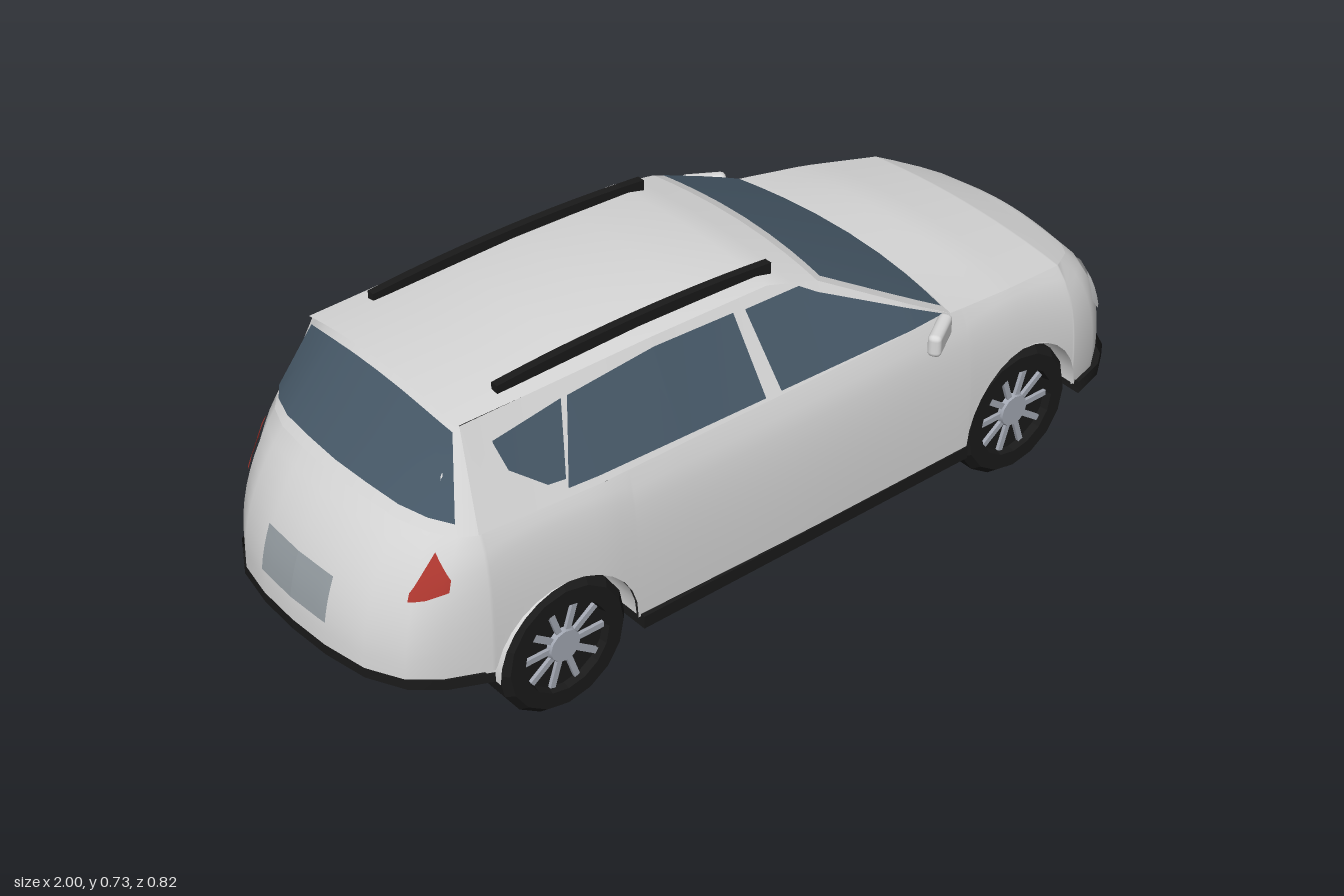
import * as THREE from 'three';
import { RoundedBoxGeometry } from 'three/addons/geometries/RoundedBoxGeometry.js';

const mat = (name, color) => new THREE.MeshStandardMaterial({ name, color, side: THREE.DoubleSide });
const paint = mat('silver paint', 0xd8d8d8);
const glass = mat('tinted glass', 0x475968);
const black = mat('black trim', 0x1a1a1a);
const alloy = mat('wheel alloy', 0xa2a7b2);
const lens = mat('headlight lens', 0xd4d5d6);
const grilleGrey = mat('grille grey', 0x959da2);
const red = mat('tail light red', 0xb03830);

const V = (x, y, z) => new THREE.Vector3(x, y, z);
const lerp = THREE.MathUtils.lerp;
const mirrorZ = (p) => V(p.x, p.y, -p.z);

// Piecewise linear lookup in a table of [x, value], x ascending
function at(table, x) {
  if (x <= table[0][0]) return table[0][1];
  for (let i = 1; i < table.length; i++) {
    const [x0, a] = table[i - 1], [x1, b] = table[i];
    if (x <= x1) return lerp(a, b, (x - x0) / (x1 - x0));
  }
  return table[table.length - 1][1];
}

// Smooth sheet through rows of points
function sheet(rows) {
  const n = rows[0].length, index = [];
  for (let i = 0; i < rows.length - 1; i++)
    for (let j = 0; j < n - 1; j++) {
      const a = i * n + j, b = a + n;
      index.push(a, b, a + 1, b, b + 1, a + 1);
    }
  const g = new THREE.BufferGeometry().setFromPoints(rows.flat());
  g.setIndex(index);
  g.computeVertexNormals();
  return g;
}

// Columns of the body shell: foot x, foot z, shoulder x, y, z
const front = [
  [.985, 0, .92, .385, 0], [.98, .12, .915, .385, .11], [.965, .22, .90, .385, .19],
  [.93, .285, .87, .395, .23], [.87, .33, .82, .415, .265], [.79, .352, .79, .426, .285]];
const rear = [
  [-.775, .345, -.775, .5, .32], [-.87, .315, -.81, .5, .30], [-.93, .275, -.845, .505, .255],
  [-.975, .20, -.87, .51, .19], [-.995, .10, -.882, .515, .10], [-1, 0, -.887, .515, 0]];
const footZ = [[-.78, .345], [-.5, .365], [0, .375], [.45, .375], [.8, .35]];
const beltY = [[-.78, .5], [.3, .5], [.42, .49], [.6, .462], [.8, .425]];
const beltZ = [[-.775, .32], [-.5, .34], [.3, .345], [.45, .335], [.6, .32], [.8, .285]];
const roofZ = [[-.75, .24], [-.3, .25], [.12, .24]];
const roofY = [[-.775, .5], [-.75, .695], [-.3, .70], [0, .69], [.12, .658], [.42, .49]];
const bulge = [[-.93, .5], [-.78, .8]];
const axles = [.62, -.6], ARCH = .168, AXLE_Y = .155;

const footY = (x) => at([[-1, .21], [-.77, .185], [-.6, .15]], x);
const sideCol = (x) => [x, at(footZ, x), x, at(beltY, x), at(beltZ, x)];
const colAt = (cols, i) => {
  const k = Math.min(Math.floor(i), cols.length - 2);
  return cols[k].map((a, j) => lerp(a, cols[k + 1][j], i - k));
};

// Point of a column at a given height, along its bulging curve
function bodyPoint([fx, fz, sx, sy, sz], y) {
  const y0 = footY(fx);
  const bend = V(fx, lerp(y0, sy, at(bulge, fx)), fz * 1.03);
  const curve = new THREE.QuadraticBezierCurve3(V(fx, y0, fz), bend, V(sx, sy, sz));
  let lo = 0, hi = 1;
  for (let k = 0; k < 24; k++) {
    const m = (lo + hi) / 2;
    if (curve.getPoint(m).y < y) lo = m; else hi = m;
  }
  return curve.getPoint((lo + hi) / 2);
}

function lowerEdge(x) {
  let y = footY(x);
  for (const c of axles) {
    const d = ARCH ** 2 - (x - c) ** 2;
    if (d > 0) y = Math.max(y, AXLE_Y + Math.sqrt(d));
  }
  return y;
}

// Height of the cabin side above the belt line, as z for x and y
const sideZ = (x, y) => lerp(at(beltZ, x), at(roofZ, x), Math.max(0, (y - .5) / .19));

// Strip on the cabin side between two edge tables
function sideStrip(lo, hi, offset) {
  const a = hi[0][0], b = hi[hi.length - 1][0];
  const xs = [...lo, ...hi].map((p) => p[0]).filter((x) => x >= a && x <= b);
  for (let i = 0; i <= 40; i++) xs.push(lerp(a, b, i / 40));
  xs.sort((p, q) => p - q);
  return sheet(xs.map((x) => [at(lo, x), at(hi, x)].map((y) => V(x, y, sideZ(x, y) + offset))));
}

// Thin plate on the shell: list of [column, low y, high y]
function shellPlate(cols, edges) {
  const rows = [];
  for (let i = 0; i < edges.length - 1; i++)
    for (let k = i ? 1 : 0; k <= 6; k++) {
      const [c, lo, hi] = edges[i].map((e, j) => lerp(e, edges[i + 1][j], k / 6));
      rows.push([0, .25, .5, .75, 1].map((t) => {
        const p = bodyPoint(colAt(cols, c), lerp(lo, hi, t));
        return V(p.x * 1.005, p.y, p.z * 1.015);
      }));
    }
  return sheet(rows);
}

export function createModel() {
  const car = new THREE.Group();
  car.name = 'car';
  const add = (name, geo, material, parent = car) => {
    const m = new THREE.Mesh(geo, material);
    m.name = name;
    parent.add(m);
    return m;
  };
  const pair = (name, geo, material) => {
    add(name + 'Left', geo, material);
    const g = geo.clone().scale(1, 1, -1), ix = g.index;
    for (let i = 0; i < ix.count; i += 3) {
      const a = ix.getX(i);
      ix.setX(i, ix.getX(i + 1));
      ix.setX(i + 1, a);
    }
    g.computeVertexNormals();
    add(name + 'Right', g, material);
  };

  // Lower body with wheel arches
  const stations = [];
  const archXs = (c) => { for (let k = 0; k <= 14; k++) stations.push(c + ARCH * Math.cos(Math.PI * k / 14)); };
  archXs(axles[0]);
  for (let k = 0; k < 7; k++) stations.push(lerp(.42, -.425, k / 7));
  archXs(axles[1]);
  const sides = stations.map(sideCol);
  const half = [...front, ...sides, ...rear].map((c) => {
    const y0 = lowerEdge(c[0]);
    return Array.from({ length: 10 }, (_, j) => bodyPoint(c, lerp(y0, c[3], j / 9)));
  });
  add('lowerBody', sheet([...half, ...half.slice(0, -1).reverse().map((r) => r.map(mirrorZ))]), paint);

  // Hood
  const hoodCols = [...front, ...sides.slice(0, 16)];
  add('hood', sheet(hoodCols.map(([, , x, y, z]) => Array.from({ length: 13 }, (_, j) => {
    const u = 1 - j / 6, rise = at([[.42, .02], [.62, .07]], x);
    return V(x, y + rise * z * (1 - u * u), z * u);
  }))), paint);

  // Cabin sides, rear panel, roof and windscreen frame
  pair('cabinSide', sideStrip(beltY, roofY, 0), paint);
  const rearBelt = rear.map((c) => V(c[2], c[3], c[4]));
  const belt = [...rearBelt, ...rearBelt.slice(0, -1).reverse().map(mirrorZ)];
  const us = belt.map((p) => p.z / .32);
  const crown = (u) => .022 * (1 - u * u);
  const rearTop = belt.map((p, i) => V(-.75, .695 + crown(us[i]), us[i] * sideZ(-.75, .695)));
  add('rearPanel', sheet([belt, rearTop]), paint);
  const across = (x, y, bow, rise) => us.map((u) => V(x + bow * (1 - u * u), y + rise * crown(u), sideZ(x, y) * u));
  const roofRows = [-.6, -.45, -.3, -.15, 0, .06, .12].map((x) =>
    across(x, at(roofY, x), Math.max(0, x) / 8, at([[-.1, 1], [.12, .45]], x)));
  add('roof', sheet([rearTop.map((p) => V(p.x - .01, p.y + .002, p.z)), ...roofRows]), paint);
  const screenRow = (t) => across(lerp(.12, .42, t), lerp(.658, .49, t), lerp(.015, .035, t), lerp(.45, .2, t));
  add('windscreenFrame', sheet([0, .25, .5, .75, 1].map(screenRow)), paint);

  // Glass
  add('windscreen', sheet([.04, .25, .5, .75, .95].map((t) =>
    screenRow(t).map((p) => V(p.x + .004, p.y + .006, p.z * .945)))), glass);
  add('rearWindow', sheet([.13, .5, .92].map((v) => belt.map((p, i) => p.clone().lerp(rearTop[i], v))
    .map((p) => V(p.x - .006, p.y, p.z * 1.005)).slice(1, -1))), glass);
  pair('frontSideWindow', sideStrip([[-.07, .67], [-.045, .51], [.39, .503]],
    [[-.07, .672], [.07, .667], [.11, .642], [.39, .505]], .005), glass);
  pair('rearSideWindow', sideStrip([[-.57, .518], [-.085, .51]],
    [[-.57, .52], [-.515, .67], [-.3, .685], [-.1, .676], [-.085, .511]], .005), glass);
  pair('quarterWindow', sideStrip([[-.695, .645], [-.68, .59], [-.61, .538], [-.57, .535], [-.53, .668]],
    [[-.695, .65], [-.53, .67]], .005), glass);

  // Lights, grille and rear plate
  pair('headlight', shellPlate(front, [[1.8, .275, .335], [2.8, .268, .355], [3.25, .268, .35], [3.8, .312, .32]]), lens);
  pair('grille', shellPlate(front, [[0, .156, .265], [1, .156, .265], [1.35, .156, .255], [1.65, .156, .16]]), grilleGrey);
  pair('tailLight', shellPlate(rear, [[.95, .4, .425], [1.6, .383, .475], [2.1, .378, .395]]), red);
  pair('rearPlate', shellPlate([...rear].reverse(), [[0, .27, .37], [1.05, .27, .37]]), grilleGrey);

  // Bumper skirts, floor and sills
  const skirt = (name, cols, grow, yLow, yHigh) => {
    const ring = [...cols, ...cols.slice().reverse().map(([x, z]) => [x, -z])];
    add(name, sheet(ring.map(([x, z]) => [yLow(x), yHigh(x)].map((y) => V(x * grow, y, z * 1.03)))), black);
    add(name + 'Floor', sheet(cols.map(([x, z]) => [1, -1].map((s) => V(x * grow, yLow(x), s * z * 1.03)))), black);
  };
  skirt('frontSkirt', front, 1.014, () => .126, () => .156);
  skirt('rearSkirt', rear, 1.001, (x) => footY(x) - .02, (x) => footY(x) + .004);
  add('floorAndSills', new THREE.BoxGeometry(.88, .03, .756), black).position.set(.013, .141, 0);

  // Wheel bays: arch liner, inner wall and the flat panel between them
  for (const x of axles) {
    for (const s of [1, -1]) {
      const liner = new THREE.CylinderGeometry(ARCH, ARCH, .11, 14, 1, true, Math.PI / 2, Math.PI).rotateX(Math.PI / 2);
      add('archLiner', liner, paint).position.set(x, AXLE_Y, s * .305);
      add('archWall', new THREE.CircleGeometry(ARCH, 14, 0, Math.PI), paint).position.set(x, AXLE_Y, s * .25);
    }
    add('axlePanel', new THREE.PlaneGeometry(2 * ARCH, .5).rotateX(Math.PI / 2), paint).position.set(x, .16, 0);
  }

  // Roof rails
  const rail = new THREE.Shape();
  rail.moveTo(-.64, .69);
  rail.lineTo(-.64, .72);
  rail.quadraticCurveTo(-.3, .744, .04, .71);
  rail.lineTo(.04, .682);
  rail.quadraticCurveTo(-.3, .715, -.64, .69);
  for (const s of [1, -1])
    add('roofRail', new THREE.ExtrudeGeometry(rail, { depth: .018, bevelEnabled: false }), black).position.z = s * .2 - .009;

  // Door mirrors
  for (const s of [1, -1]) {
    const mirror = add('doorMirror', new RoundedBoxGeometry(.1, .052, .03, 2, .012), paint);
    mirror.position.set(.355, .484, s * .375);
    mirror.rotation.y = s * .55;
    add('mirrorArm', new THREE.BoxGeometry(.03, .02, .03), paint).position.set(.385, .474, s * .345);
  }

  // Wheels
  const tyreProfile = [[.1, -.05], [.155, -.05], [.155, .035], [.14, .052], [.104, .052], [.1, .035]]
    .map(([r, y]) => new THREE.Vector2(r, y));
  const tyre = new THREE.LatheGeometry(tyreProfile, 16).toNonIndexed();
  tyre.computeVertexNormals();
  for (const x of axles) for (const s of [1, -1]) {
    const wheel = new THREE.Group();
    wheel.name = 'wheel';
    add('tyre', tyre, black, wheel);
    add('wheelDisc', new THREE.CylinderGeometry(.103, .103, .08, 16), black, wheel).position.y = -.008;
    add('hub', new THREE.CylinderGeometry(.036, .04, .012, 12), alloy, wheel).position.y = .04;
    for (let k = 0; k < 10; k++) {
      const spoke = add('spoke', new THREE.BoxGeometry(.07, .008, .013), alloy, wheel);
      const a = k * Math.PI / 5;
      spoke.position.set(.064 * Math.cos(a), .037, -.064 * Math.sin(a));
      spoke.rotation.y = a;
    }
    wheel.position.set(x, AXLE_Y, s * .302);
    wheel.rotation.x = s * Math.PI / 2;
    car.add(wheel);
  }
  return car;
}
